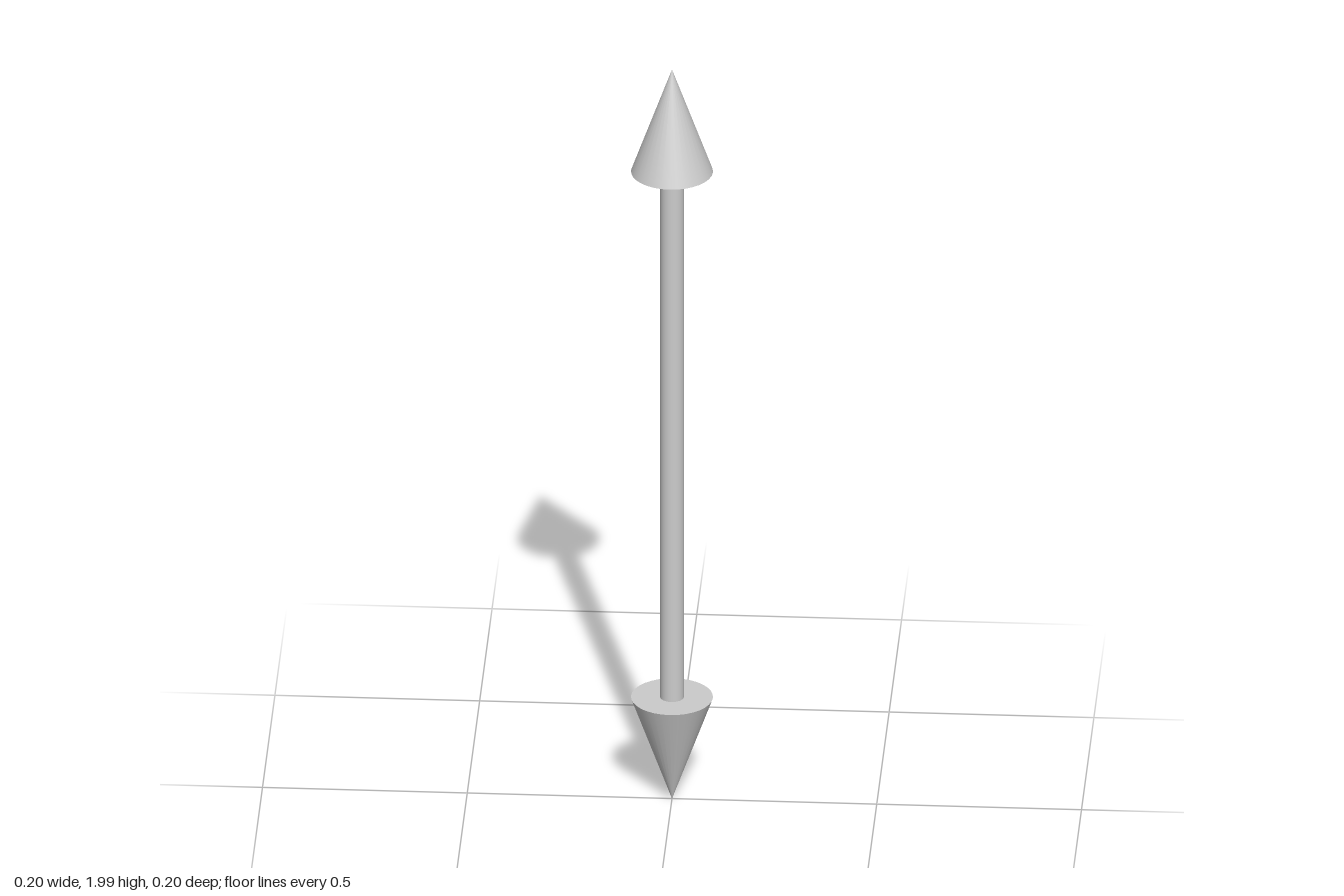
import * as THREE from 'three';

const SEGMENTS = 32;
const TOP = 2, BOTTOM = 0.01;
const HEAD_HEIGHT = 0.278, HEAD_RADIUS = 0.1, SHAFT_RADIUS = 0.029;

export function createModel() {
  const group = new THREE.Group();
  group.name = 'doubleArrow';
  const material = new THREE.MeshStandardMaterial({ color: 0xcccccc });

  // Shaft running between the bases of the two heads
  const middle = (TOP + BOTTOM) / 2;
  const shaftLength = TOP - BOTTOM - 2 * HEAD_HEIGHT;
  const shaft = new THREE.Mesh(
    new THREE.CylinderGeometry(SHAFT_RADIUS, SHAFT_RADIUS, shaftLength, SEGMENTS),
    material
  );
  shaft.name = 'shaft';
  shaft.position.y = middle;
  group.add(shaft);

  // Matching conical heads, the lower one turned upside down
  const headGeometry = new THREE.ConeGeometry(HEAD_RADIUS, HEAD_HEIGHT, SEGMENTS);
  for (const [name, side] of [['upperHead', 1], ['lowerHead', -1]]) {
    const head = new THREE.Mesh(headGeometry, material);
    head.name = name;
    head.position.y = middle + side * (shaftLength + HEAD_HEIGHT) / 2;
    if (side < 0) head.rotation.x = Math.PI;
    group.add(head);
  }

  return group;
}
